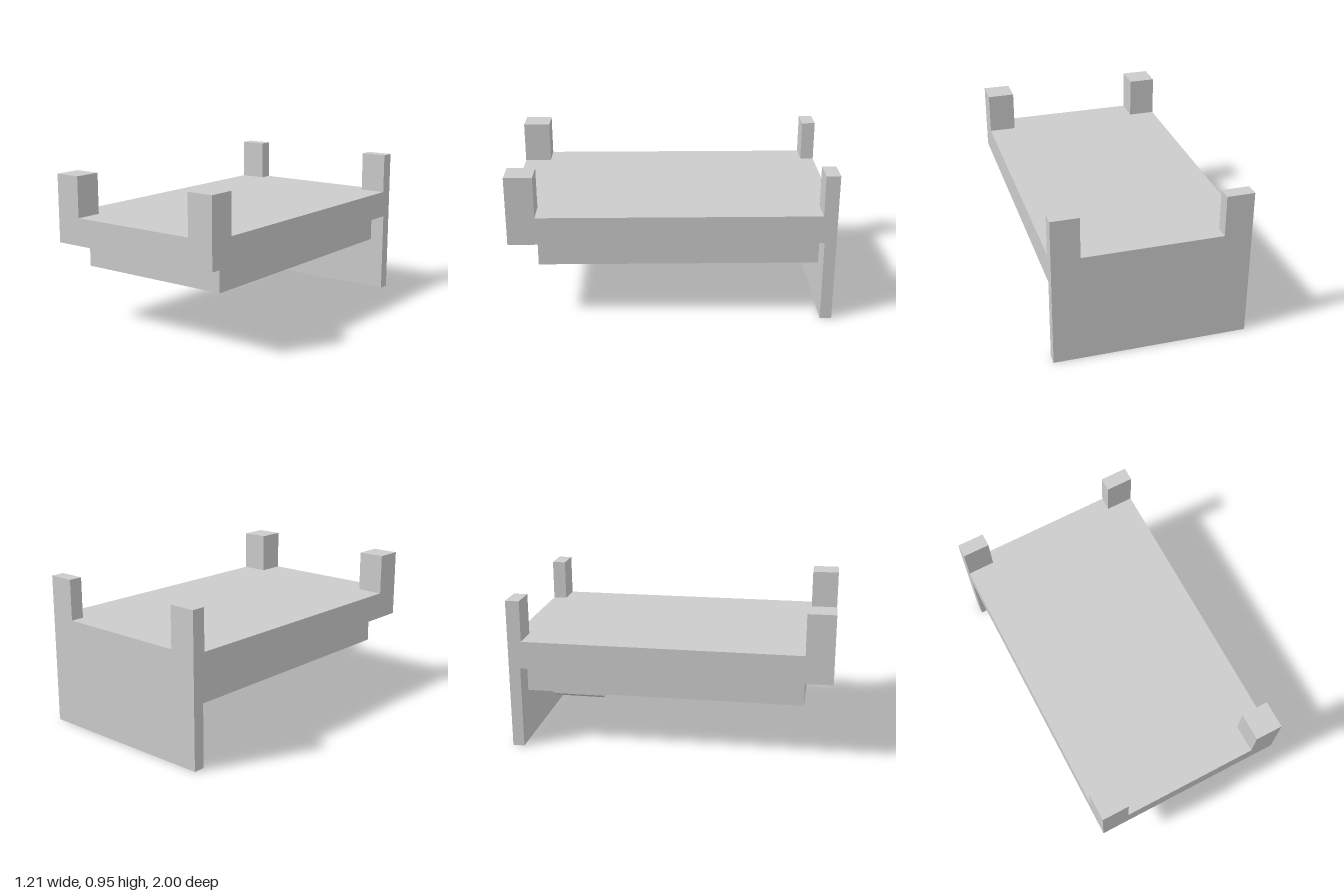
import * as THREE from 'three';

const material = new THREE.MeshStandardMaterial({ color: 0xcccccc, flatShading: true });

// Box given by its min and max on each axis
function block(name, [x0, x1], [y0, y1], [z0, z1]) {
  const mesh = new THREE.Mesh(new THREE.BoxGeometry(x1 - x0, y1 - y0, z1 - z0), material);
  mesh.position.set((x0 + x1) / 2, (y0 + y1) / 2, (z0 + z1) / 2);
  mesh.name = name;
  return mesh;
}

export function createModel() {
  const model = new THREE.Group();
  model.name = 'platform';
  const W = 0.605, under = 0.521, deckTop = 0.695, postTop = 0.953, postIn = 0.433;

  // Main deck, the narrower slab under it and the full-width back support
  model.add(block('deck', [-W, W], [under, deckTop], [-1, 1]));
  model.add(block('lowerSlab', [-0.52, 0.52], [0.348, under], [-0.91, 0.828]));
  model.add(block('backSupport', [-W, W], [0, under], [-1, -0.927]));

  // Corner posts: deep at the front, thin at the back
  for (const [side, x] of [['left', [postIn, W]], ['right', [-W, -postIn]]]) {
    model.add(block(side + 'FrontPost', x, [deckTop, postTop], [0.828, 1]));
    model.add(block(side + 'BackPost', x, [deckTop, postTop], [-1, -0.913]));
  }

  // Underside box with a chamfered bottom edge
  const x = [-0.259, 0.259], z = [-0.82, -0.475], chamfer = 0.016;
  model.add(block('undersideBox', x, [0.234, 0.348], z));
  const foot = block('undersideBoxChamfer', x, [0.234 - chamfer, 0.234], z);
  const p = foot.geometry.attributes.position;
  for (let i = 0; i < p.count; i++) {
    if (p.getY(i) > 0) continue;
    p.setX(i, p.getX(i) - Math.sign(p.getX(i)) * chamfer);
    p.setZ(i, p.getZ(i) - Math.sign(p.getZ(i)) * chamfer);
  }
  foot.geometry.computeVertexNormals();
  model.add(foot);

  return model;
}
